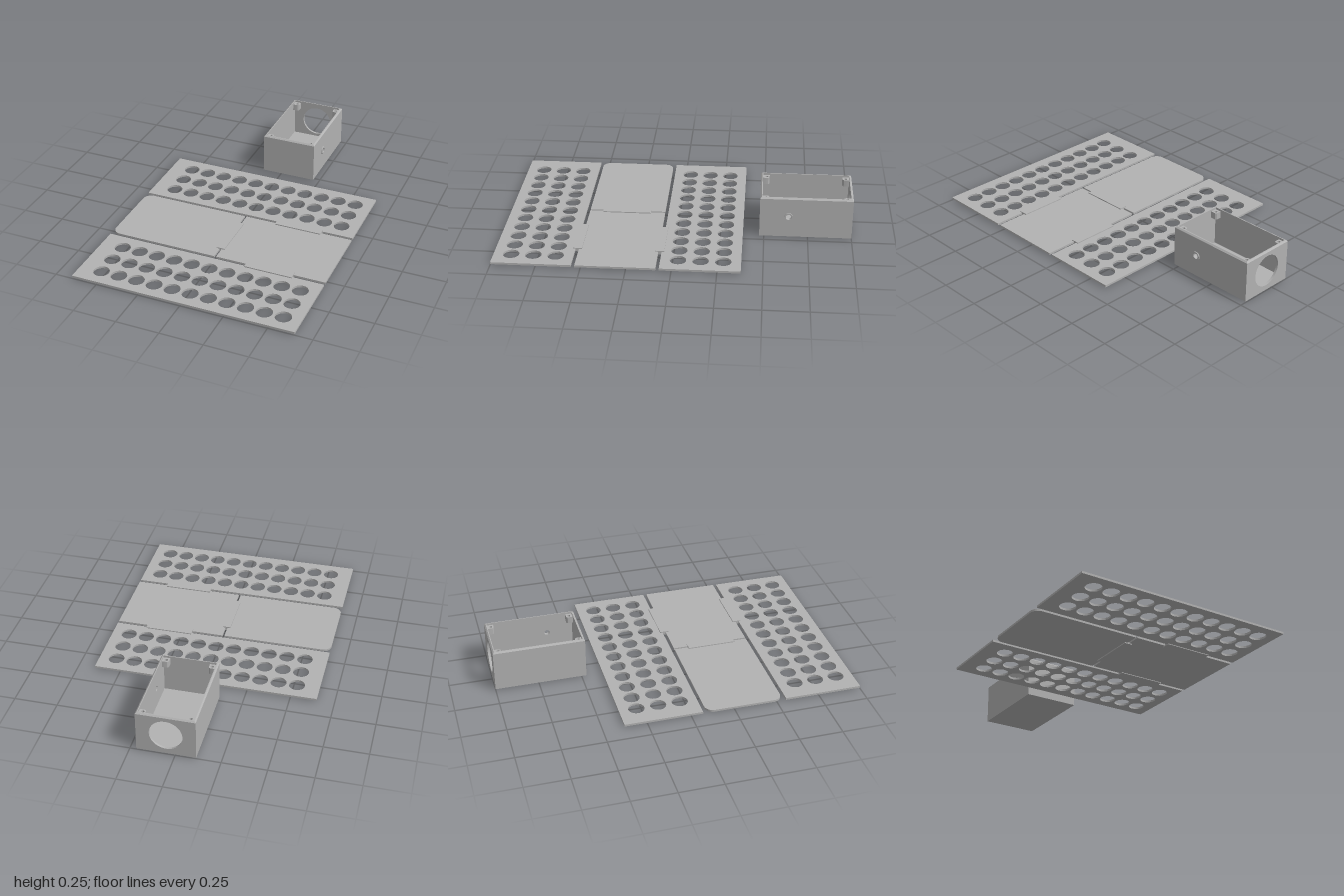
import * as THREE from 'three';
import { toCreasedNormals } from 'three/addons/utils/BufferGeometryUtils.js';

const grey = new THREE.MeshStandardMaterial({ color: 0xb2b2b2 });
grey.name = 'grey';

function add(group, name, geometry) {
  const mesh = new THREE.Mesh(geometry, grey);
  mesh.name = name;
  group.add(mesh);
  return mesh;
}

function block(group, name, x0, x1, y0, y1, z0, z1) {
  add(group, name, new THREE.BoxGeometry(x1 - x0, y1 - y0, z1 - z0))
    .position.set((x0 + x1) / 2, (y0 + y1) / 2, (z0 + z1) / 2);
}

// Rectangle whose left-hand corners (r) can be rounded
function rect(x0, x1, y0, y1, r = 0) {
  const s = new THREE.Shape();
  s.moveTo(x1, y0).lineTo(x1, y1).lineTo(x0 + r, y1);
  if (r) s.absarc(x0 + r, y1 - r, r, Math.PI / 2, Math.PI, false);
  else s.lineTo(x0, y1);
  s.lineTo(x0, y0 + r);
  if (r) s.absarc(x0 + r, y0 + r, r, Math.PI, Math.PI * 1.5, false);
  s.lineTo(x1, y0);
  return s;
}

function punch(shape, x, y, r) {
  shape.holes.push(new THREE.Path().absarc(x, y, r, 0, Math.PI * 2, true));
  return shape;
}

function extrude(shape, depth) {
  const g = new THREE.ExtrudeGeometry(shape, { depth, bevelEnabled: false, curveSegments: 20 });
  return toCreasedNormals(g, 0.6);
}

// Flat plate drawn in x and z, with its top at the given height
function plate(group, name, shape, top, thickness) {
  add(group, name, extrude(shape, thickness).rotateX(Math.PI / 2)).position.y = top;
}

// Four-sided band: profile points are [inset, height], going up the outside and in
function band(x0, x1, z0, z1, profile) {
  const p = [];
  const corners = ([i, y]) => [
    [x0 + i, y, z0 + i], [x1 - i, y, z0 + i], [x1 - i, y, z1 - i], [x0 + i, y, z1 - i]];
  for (let k = 0; k < profile.length - 1; k++) {
    const low = corners(profile[k]), high = corners(profile[k + 1]);
    for (let c = 0; c < 4; c++) {
      const n = (c + 1) % 4;
      p.push(...low[c], ...high[c], ...low[n], ...low[n], ...high[c], ...high[n]);
    }
  }
  const g = new THREE.BufferGeometry();
  g.setAttribute('position', new THREE.Float32BufferAttribute(p, 3));
  g.computeVertexNormals();
  return g;
}

function createPanels() {
  const panels = new THREE.Group();
  panels.name = 'panels';
  const top = 0.018, t = 0.012;

  // Two perforated side panels
  for (const [name, z0] of [['backPerforatedPanel', -0.38], ['frontPerforatedPanel', 0.552]]) {
    const shape = rect(-0.65, 0.65, z0, z0 + 0.447);
    for (let row = 0; row < 3; row++)
      for (let col = 0; col < 11; col++)
        punch(shape, -0.52 + col * 0.107, z0 + 0.099 + row * 0.125, 0.046);
    plate(panels, name, shape, top, t);
  }

  // Split centre panel
  plate(panels, 'roundedCentrePanel', rect(-0.65, -0.009, 0.086, 0.532, 0.05), top, t);
  plate(panels, 'squareCentrePanel', rect(0.003, 0.65, 0.086, 0.532), top, t);

  // Joining strips
  block(panels, 'centreHinge', -0.027, 0.02, 0, 0.024, 0.17, 0.453);
  block(panels, 'backHinge', 0.187, 0.467, 0.002, 0.024, 0.052, 0.103);
  block(panels, 'frontHinge', 0.187, 0.467, 0.002, 0.024, 0.515, 0.565);
  return panels;
}

function createBox() {
  const box = new THREE.Group();
  box.name = 'openBox';
  const x0 = -0.115, x1 = 0.214, z0 = -1, z1 = -0.473;
  const y0 = 0.006, y1 = 0.25, t = 0.013, c = 0.008, wallTop = y1 - c;

  // Floor and plain walls
  block(box, 'floor', x0 + t, x1 - t, y0, y0 + t, z0 + t, z1 - t);
  block(box, 'frontWall', x0, x1, y0, wallTop, z1 - t, z1);
  block(box, 'rightWall', x0, x0 + t, y0, wallTop, z0 + t, z1 - t);

  // Back wall with the large round opening
  const back = punch(rect(x0, x1, y0, wallTop), (x0 + x1) / 2, 0.128, 0.092);
  add(box, 'backWall', extrude(back, t)).position.z = z0;

  // Left wall with the small round port
  const portZ = -0.637, portY = 0.132;
  const side = punch(rect(-z1 + t, -z0 - t, y0, wallTop), -portZ, portY, 0.016);
  add(box, 'leftWall', extrude(side, t).rotateY(Math.PI / 2)).position.x = x1 - t;
  const collar = new THREE.Shape().absarc(0, 0, 0.025, 0, Math.PI * 2, false);
  punch(collar, 0, 0, 0.016);
  add(box, 'portCollar', extrude(collar, 0.006).rotateY(Math.PI / 2)).position.set(x1, portY, portZ);

  // Chamfered rim
  add(box, 'rim', band(x0, x1, z0, z1, [[0, wallTop], [c, y1], [t, y1], [t, wallTop]]));

  // Screw tabs in the four corners, rounded towards the middle
  const s = 0.038, r = 0.012;
  for (const sx of [-1, 1]) for (const sz of [-1, 1]) {
    const cx = sx < 0 ? x0 + t : x1 - t, cz = sz < 0 ? z0 + t : z1 - t;
    const tab = new THREE.Shape();
    tab.moveTo(0, 0).lineTo(s, 0).lineTo(s, s - r);
    tab.absarc(s - r, s - r, r, 0, Math.PI / 2, false);
    tab.lineTo(0, s).lineTo(0, 0);
    punch(tab, 0.021, 0.021, 0.009);
    const turn = Math.atan2(-sz, -sx) - Math.PI / 4;
    const g = extrude(tab, 0.04).rotateX(Math.PI / 2).rotateY(-turn);
    add(box, 'screwTab', g).position.set(cx, 0.238, cz);
  }
  return box;
}

export function createModel() {
  const model = new THREE.Group();
  model.name = 'hingedPanelsAndBox';
  model.add(createPanels(), createBox());
  return model;
}
